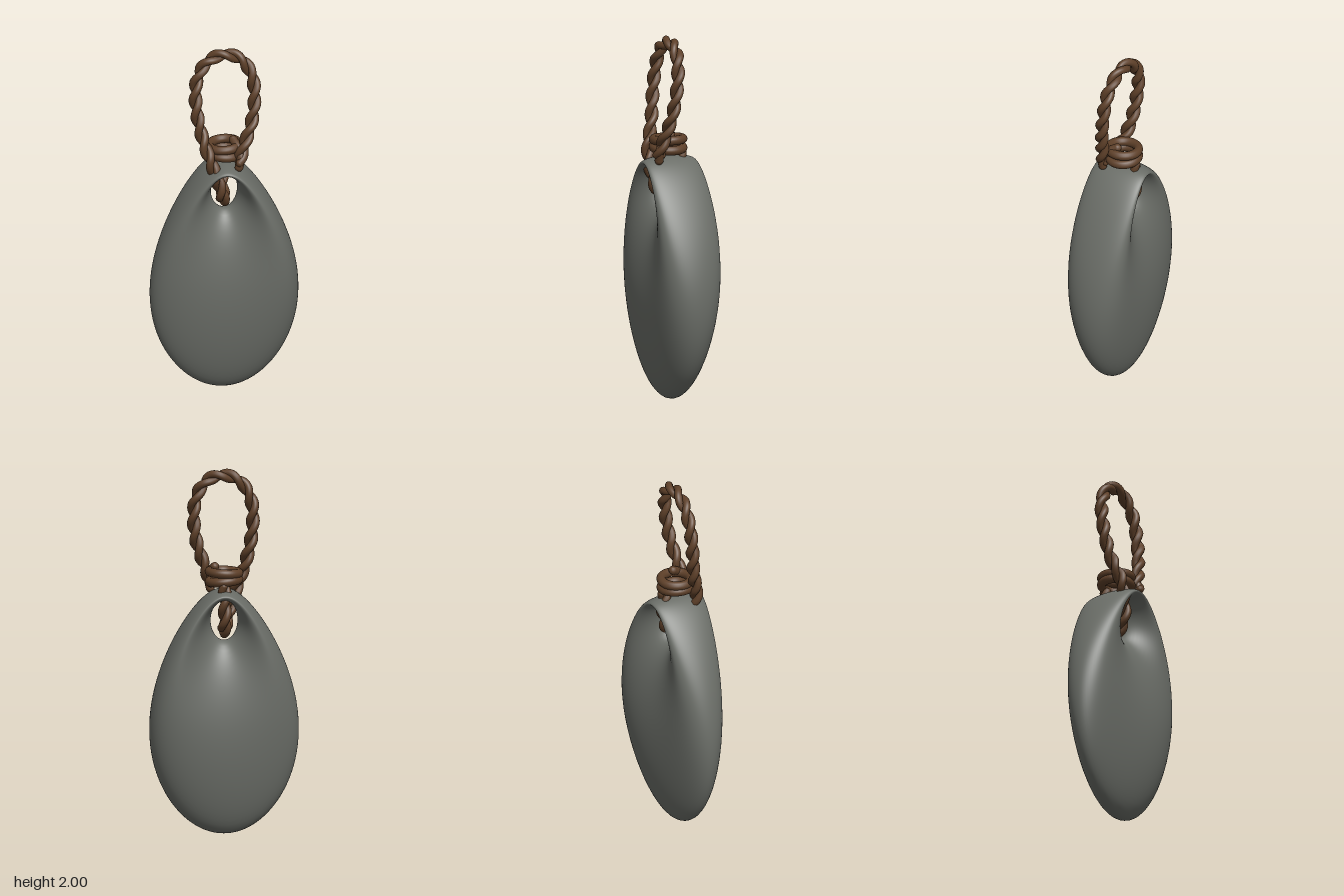
import * as THREE from 'three';

const stoneMat = new THREE.MeshStandardMaterial({ color: 0x6a6d67 });
stoneMat.name = 'grey stone';
const ropeMat = new THREE.MeshStandardMaterial({ color: 0x5e4029 });
ropeMat.name = 'brown cord';

const V = (x, y, z) => new THREE.Vector3(x, y, z);

// Pierced pebble: a closed ring surface swept between the hole and the egg outline
function stoneGeometry() {
  const nA = 144, nU = 56, pos = [], idx = [];
  for (let i = 0; i < nA; i++) {
    const a = (i / nA) * Math.PI * 2, c = Math.cos(a), s = Math.sin(a);
    const outX = s * (0.4 + 0.075 * c - 0.05 * c * c), outY = 0.67 * (1 - c);
    const holeX = 0.073 * s, holeY = 1.17 - 0.11 * c;
    for (let j = 0; j < nU; j++) {
      const u = (j / nU) * Math.PI * 2, t = (1 - Math.cos(u)) / 2;
      const x = THREE.MathUtils.lerp(holeX, outX, t);
      const y = THREE.MathUtils.lerp(holeY, outY, t);
      // thicker on the +x side, slimmer towards the bottom
      const thick = (0.152 + 0.085 * x) * (0.9 + 0.1 * THREE.MathUtils.smoothstep(y, 0, 0.7));
      pos.push(x, y, thick * Math.sin(u));
      const a0 = i * nU, a1 = ((i + 1) % nA) * nU, j1 = (j + 1) % nU;
      idx.push(a0 + j, a0 + j1, a1 + j, a1 + j, a0 + j1, a1 + j1);
    }
  }
  const g = new THREE.BufferGeometry();
  g.setAttribute('position', new THREE.Float32BufferAttribute(pos, 3));
  g.setIndex(idx);
  g.computeVertexNormals();
  return g;
}

// Two strands twisted around a path, with rounded ends
function twistedRope(name, points, pitch, strandR, offset) {
  const rope = new THREE.Group();
  rope.name = name;
  const path = new THREE.CatmullRomCurve3(points);
  const n = 220, frames = path.computeFrenetFrames(n, false);
  const turns = path.getLength() / pitch;
  for (let k = 0; k < 2; k++) {
    const pts = [];
    for (let i = 0; i <= n; i++) {
      const a = (i / n) * turns * Math.PI * 2 + k * Math.PI;
      pts.push(path.getPointAt(i / n)
        .addScaledVector(frames.normals[i], Math.cos(a) * offset)
        .addScaledVector(frames.binormals[i], Math.sin(a) * offset));
    }
    const strand = new THREE.Mesh(
      new THREE.TubeGeometry(new THREE.CatmullRomCurve3(pts), 400, strandR, 12), ropeMat);
    strand.name = 'ropeStrand';
    rope.add(strand);
    for (const p of [pts[0], pts[n]]) {
      const cap = new THREE.Mesh(new THREE.SphereGeometry(strandR, 12, 8), ropeMat);
      cap.name = 'strandEnd';
      cap.position.copy(p);
      rope.add(cap);
    }
  }
  return rope;
}

export function createModel() {
  const model = new THREE.Group();
  model.name = 'stonePendant';

  const stone = new THREE.Mesh(stoneGeometry(), stoneMat);
  stone.name = 'stone';
  model.add(stone);

  // Hanging loop, continuing down through the hole and back up behind
  model.add(twistedRope('ropeLoop', [
    V(0.07, 1.36, 0.09), V(0.1, 1.45, 0.075), V(0.145, 1.58, 0.05), V(0.163, 1.72, 0.03),
    V(0.15, 1.84, 0.015), V(0.09, 1.935, 0), V(0, 1.962, -0.005), V(-0.09, 1.925, -0.005),
    V(-0.148, 1.82, 0), V(-0.155, 1.67, 0.015), V(-0.125, 1.5, 0.04), V(-0.085, 1.37, 0.08),
    V(-0.045, 1.25, 0.08), V(-0.015, 1.14, 0.05), V(0, 1.107, 0), V(0, 1.14, -0.05),
    V(0, 1.25, -0.08), V(0, 1.36, -0.07),
  ], 0.2, 0.021, 0.017));

  // Binding coils around the neck
  for (let i = 0; i < 2; i++) {
    const coil = new THREE.Mesh(new THREE.TorusGeometry(0.08, 0.025, 14, 48), ropeMat);
    coil.name = 'bindingCoil';
    coil.rotation.set(Math.PI / 2, i ? 0.06 : -0.08, 0);
    coil.position.set(0, 1.385 + i * 0.045, 0);
    model.add(coil);
  }

  // Short tucked tail of the binding, at the front
  const tail = new THREE.Mesh(new THREE.TubeGeometry(new THREE.CatmullRomCurve3([
    V(0.05, 1.46, 0.01), V(0.07, 1.43, 0.06), V(0.08, 1.385, 0.09), V(0.07, 1.33, 0.09),
  ]), 24, 0.024, 12), ropeMat);
  tail.name = 'bindingTail';
  model.add(tail);
  for (const p of [V(0.05, 1.46, 0.01), V(0.07, 1.33, 0.09)]) {
    const cap = new THREE.Mesh(new THREE.SphereGeometry(0.024, 12, 8), ropeMat);
    cap.name = 'tailEnd';
    cap.position.copy(p);
    model.add(cap);
  }
  return model;
}
